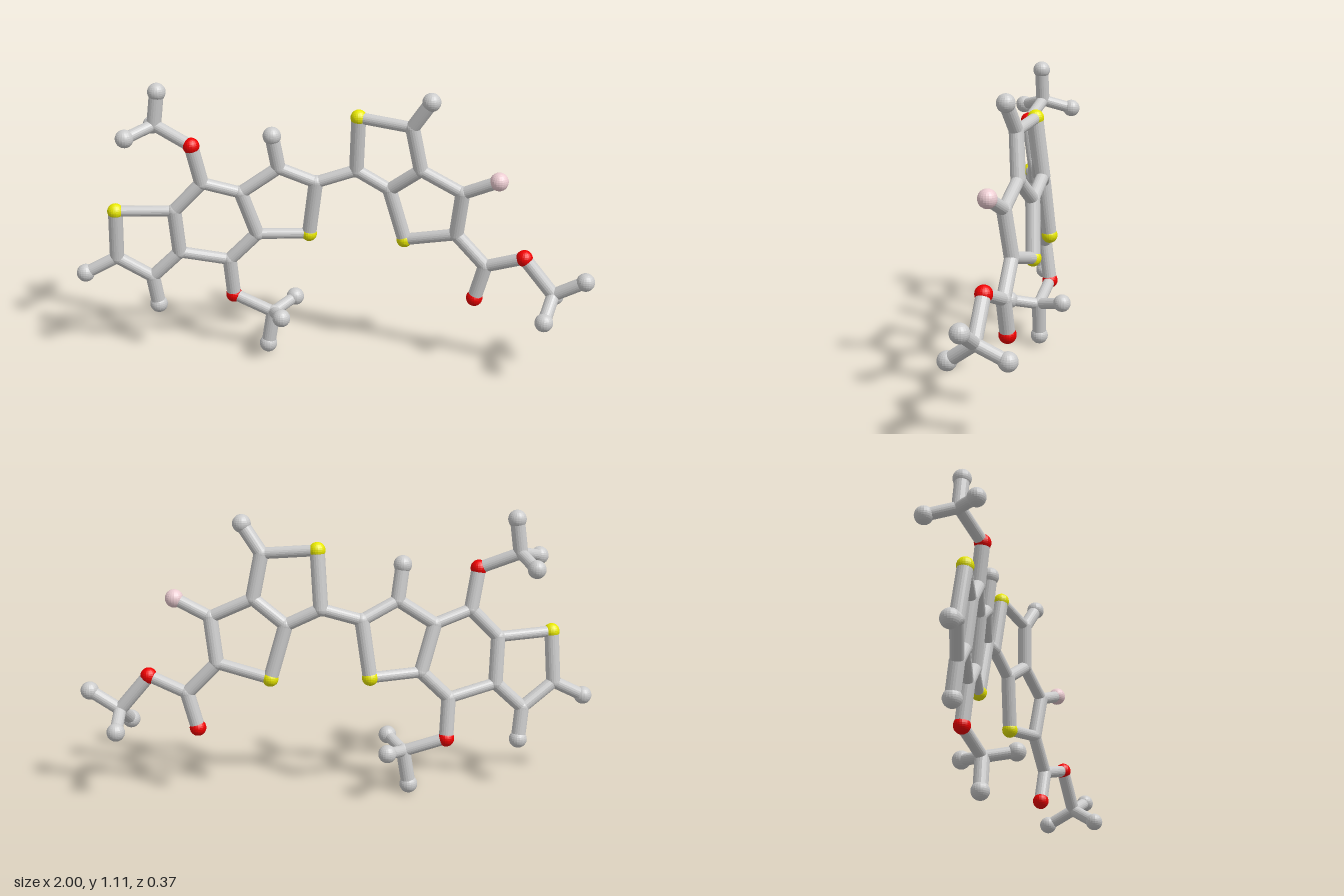
import * as THREE from 'three';

const makeMaterial = (color) => new THREE.MeshStandardMaterial({ color, flatShading: true });
const materials = {
  carbon: makeMaterial(0xcccccc),
  hydrogen: makeMaterial(0xcccccc),
  sulfur: makeMaterial(0xe8e800),
  oxygen: makeMaterial(0xf00000),
  fluorine: makeMaterial(0xeccdd2),
};
const radii = { carbon: 0.028, hydrogen: 0.035, sulfur: 0.031, oxygen: 0.032, fluorine: 0.035 };

// Each flat ring system lies in a gently tilted plane
const leftPlane = (x, y) => -0.185 - 0.192 * x + 0.123 * y;
const rightPlane = (x, y) => -0.201 + 0.243 * x + 0.11 * y;

// Atoms: name: [element, x, y, optional z]; without z they lie in the plane
const leftAtoms = {
  s1: ['sulfur', -0.83, 0.615], c2: ['carbon', -0.84, 0.415], c3: ['carbon', -0.71, 0.325],
  c3a: ['carbon', -0.60, 0.43], c7a: ['carbon', -0.61, 0.61],
  c8: ['carbon', -0.50, 0.725], c8a: ['carbon', -0.355, 0.68],
  c4a: ['carbon', -0.30, 0.50], c4: ['carbon', -0.41, 0.39],
  s5: ['sulfur', -0.10, 0.495], c6: ['carbon', -0.07, 0.715], c7: ['carbon', -0.21, 0.78],
  h2: ['hydrogen', -0.965, 0.35], h3: ['hydrogen', -0.695, 0.20], h7: ['hydrogen', -0.23, 0.913],
  // upper methoxy
  o8: ['oxygen', -0.53, 0.88], m8: ['carbon', -0.68, 0.945, -0.02],
  m8a: ['hydrogen', -0.663, 1.075, -0.016], m8b: ['hydrogen', -0.774, 0.914, 0.07],
  m8c: ['hydrogen', -0.717, 0.908, -0.138],
  // lower methoxy
  o4: ['oxygen', -0.40, 0.232], m4: ['carbon', -0.238, 0.175, -0.05],
  m4a: ['hydrogen', -0.26, 0.037, -0.05], m4b: ['hydrogen', -0.19, 0.202, 0.065],
  m4c: ['hydrogen', -0.163, 0.202, -0.15],
};
const rightAtoms = {
  t1: ['carbon', 0.085, 0.765], s2: ['sulfur', 0.095, 0.983], t3: ['carbon', 0.30, 0.965],
  t3a: ['carbon', 0.335, 0.795], t6a: ['carbon', 0.215, 0.70],
  s6: ['sulfur', 0.275, 0.495], t5: ['carbon', 0.475, 0.545], t4: ['carbon', 0.495, 0.72],
  ht3: ['hydrogen', 0.37, 1.073], f4: ['fluorine', 0.628, 0.785],
  // methyl ester
  e: ['carbon', 0.59, 0.425], eo: ['oxygen', 0.553, 0.287, -0.02], om: ['oxygen', 0.735, 0.483, 0.037],
  m: ['carbon', 0.85, 0.345, 0.053],
  ma: ['hydrogen', 0.965, 0.415, 0.083], mb: ['hydrogen', 0.815, 0.272, 0.15],
  mc: ['hydrogen', 0.863, 0.292, -0.06],
};

// Bonds as chains of joined atoms
const chains = {
  ringBond: [
    's1 c2 c3 c3a c7a s1', 'c7a c8 c8a c4a c4 c3a', 'c4a s5 c6 c7 c8a',
    't1 s2 t3 t3a t6a t1', 't6a s6 t5 t4 t3a',
  ],
  linkBond: ['c6 t1'],
  sideBond: ['c2 h2', 'c3 h3', 'c7 h7', 't3 ht3', 't4 f4'],
  methoxyBond: ['c8 o8 m8 m8a', 'm8b m8 m8c', 'c4 o4 m4 m4a', 'm4b m4 m4c'],
  esterBond: ['t5 e om m ma', 'mb m mc', 'e eo'],
};

export function createModel() {
  const model = new THREE.Group();
  model.name = 'molecule';
  const positions = {};
  const up = new THREE.Vector3(0, 1, 0);

  // Balls
  const addAtoms = (atoms, plane) => {
    for (const [key, [element, x, y, z = plane(x, y)]] of Object.entries(atoms)) {
      const ball = new THREE.Mesh(new THREE.SphereGeometry(radii[element], 20, 14), materials[element]);
      ball.name = element + 'Atom';
      ball.position.set(x, y, z);
      positions[key] = ball.position;
      model.add(ball);
    }
  };
  addAtoms(leftAtoms, leftPlane);
  addAtoms(rightAtoms, rightPlane);

  // Sticks, a little thicker where they run upright
  const addBond = (name, a, b) => {
    const dir = b.clone().sub(a);
    const length = dir.length();
    dir.normalize();
    const r = 0.021 + 0.007 * Math.abs(dir.y);
    const stick = new THREE.Mesh(new THREE.CylinderGeometry(r, r, length, 20, 1, true), materials.carbon);
    stick.name = name;
    stick.position.copy(a).lerp(b, 0.5);
    stick.quaternion.setFromUnitVectors(up, dir);
    model.add(stick);
  };
  for (const [name, list] of Object.entries(chains)) {
    for (const chain of list) {
      const keys = chain.split(' ');
      for (let i = 1; i < keys.length; i++) addBond(name, positions[keys[i - 1]], positions[keys[i]]);
    }
  }
  return model;
}
